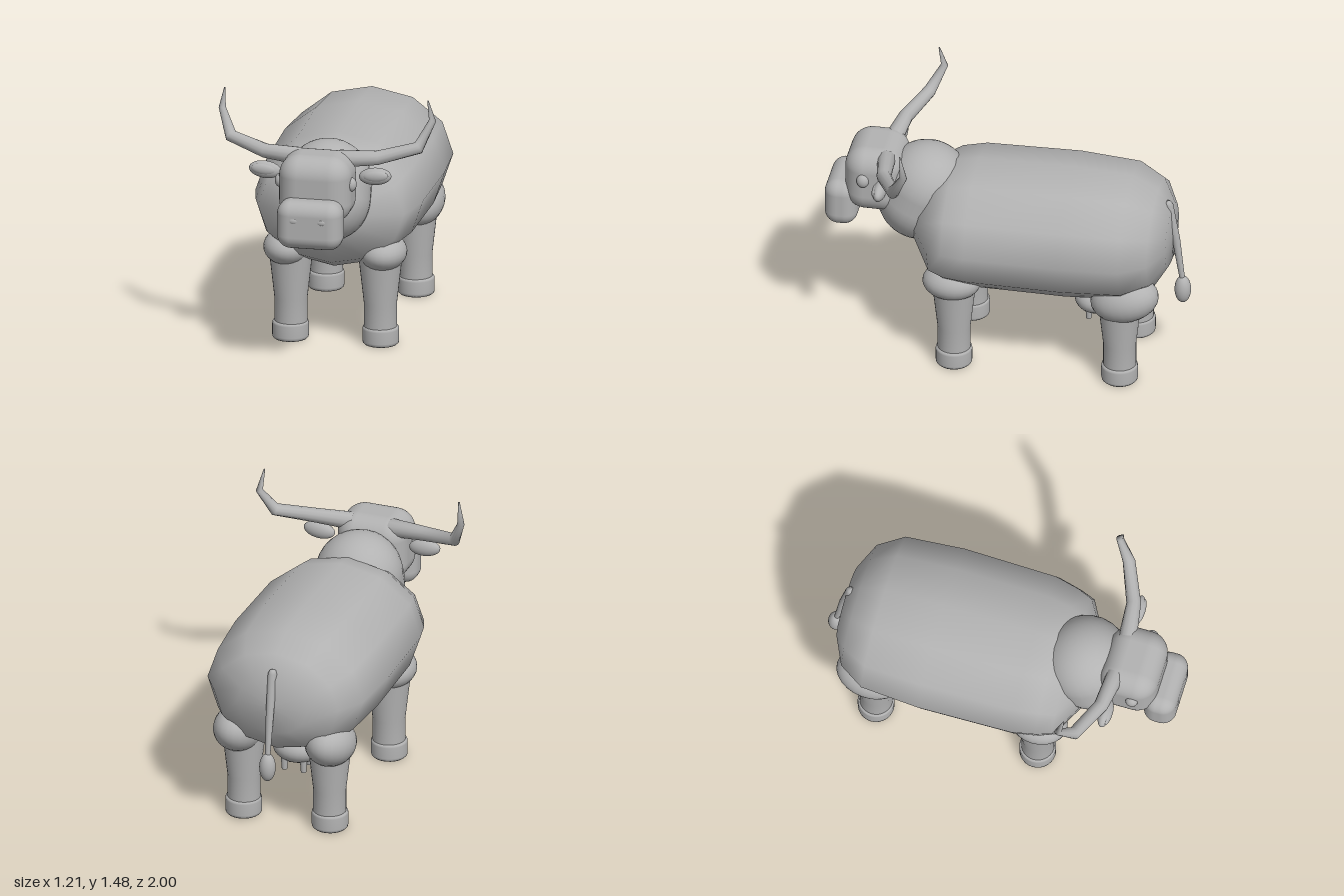
import * as THREE from 'three';
import { RoundedBoxGeometry } from 'three/addons/geometries/RoundedBoxGeometry.js';

const Y = new THREE.Vector3(0, 1, 0);
const Z = new THREE.Vector3(0, 0, 1);

// Skin of elliptical rings [x, y, z, radiusU, radiusV] set square to the path
function loft(rings, sides, ref, fixedDir) {
  const pts = rings.map(r => new THREE.Vector3(r[0], r[1], r[2]));
  const pos = [], index = [];
  rings.forEach((r, i) => {
    const a = pts[Math.max(i - 1, 0)], b = pts[Math.min(i + 1, pts.length - 1)];
    const d = fixedDir ? fixedDir.clone() : b.clone().sub(a).normalize();
    const u = ref.clone().cross(d).normalize();
    const v = d.clone().cross(u);
    for (let j = 0; j < sides; j++) {
      const t = j / sides * Math.PI * 2;
      const p = pts[i].clone().addScaledVector(u, Math.cos(t) * r[3]).addScaledVector(v, Math.sin(t) * r[4]);
      pos.push(p.x, p.y, p.z);
      if (i < rings.length - 1) {
        const k = i * sides + j, n = i * sides + (j + 1) % sides;
        index.push(k, n, k + sides, n, n + sides, k + sides);
      }
    }
  });
  const g = new THREE.BufferGeometry();
  g.setAttribute('position', new THREE.Float32BufferAttribute(pos, 3));
  g.setIndex(index);
  g.computeVertexNormals();
  return g;
}

export function createModel() {
  const model = new THREE.Group();
  model.name = 'ox';
  const hide = new THREE.MeshStandardMaterial({ color: 0xb2b2b2 });
  hide.name = 'grey hide';

  function add(name, geometry, x = 0, y = 0, z = 0) {
    const m = new THREE.Mesh(geometry, hide);
    m.name = name;
    m.position.set(x, y, z);
    model.add(m);
    return m;
  }
  function ellipsoid(name, x, y, z, rx, ry, rz) {
    const m = add(name, new THREE.SphereGeometry(1, 24, 16), x, y, z);
    m.scale.set(rx, ry, rz);
    return m;
  }

  // Barrel body: z, half width, bottom, top
  const body = [
    [-0.905, 0, 0.79, 0.79], [-0.895, 0.2, 0.63, 0.96], [-0.82, 0.36, 0.51, 1.08],
    [-0.68, 0.45, 0.445, 1.15], [-0.35, 0.475, 0.43, 1.17], [0.17, 0.465, 0.43, 1.16],
    [0.3, 0.435, 0.435, 1.135], [0.385, 0.405, 0.48, 1.08], [0.5, 0.2, 0.65, 0.94], [0.51, 0, 0.8, 0.8],
  ].map(([z, w, lo, hi]) => [0, (lo + hi) / 2, z, w, (hi - lo) / 2]);
  add('body', loft(body, 12, Y, Z));

  // Neck, head and muzzle
  const neck = add('neck', new THREE.CapsuleGeometry(0.24, 0.085, 10, 28), 0, 0.922, 0.475);
  neck.rotation.x = -0.36;
  add('head', new RoundedBoxGeometry(0.4, 0.375, 0.32, 6, 0.115), 0, 1.027, 0.73);
  add('muzzle', new RoundedBoxGeometry(0.36, 0.27, 0.18, 6, 0.075), 0, 0.865, 0.91);

  for (const s of [1, -1]) {
    const side = s > 0 ? 'left' : 'right';
    ellipsoid(side + 'Nostril', s * 0.078, 0.9, 0.994, 0.026, 0.017, 0.01);
    ellipsoid(side + 'Eye', s * 0.198, 1.06, 0.775, 0.028, 0.039, 0.034);

    // Ear with a raised inner pad
    const ear = ellipsoid(side + 'Ear', s * 0.305, 1.077, 0.66, 0.09, 0.048, 0.036);
    ear.rotation.z = s * 0.08;
    const inner = ellipsoid(side + 'InnerEar', s * 0.31, 1.082, 0.678, 0.07, 0.032, 0.022);
    inner.rotation.z = s * 0.08;

    // Bent, tapering horn
    const horn = [
      [0.11, 1.165, 0.66, 0], [0.11, 1.165, 0.66, 0.05], [0.31, 1.175, 0.635, 0.04],
      [0.52, 1.218, 0.545, 0.035], [0.583, 1.355, 0.475, 0.02], [0.563, 1.475, 0.5, 0.004], [0.563, 1.477, 0.5, 0],
    ].map(([x, y, z, r]) => [s * x, y, z, r, r]);
    add(side + 'Horn', loft(horn, 12, Z));

    // Legs with rounded shoulders, haunches and hooves
    for (const front of [true, false]) {
      const name = side + (front ? 'Front' : 'Back');
      const z = front ? 0.26 : -0.655;
      const leg = [[0.001, 0.04], [0.088, 0.09 - 0.05], [0.09, 0.09], [0.23, 0.09], [0.48, 0.118], [0.52, 0.115]]
        .slice(2).map(([y, r]) => new THREE.Vector2(r, y));
      add(name + 'Leg', new THREE.LatheGeometry(leg, 28), s * 0.248, 0, z);
      const hoof = [[0, 0], [0.09, 0], [0.098, 0.008], [0.1, 0.02], [0.1, 0.085], [0.097, 0.096], [0.088, 0.101], [0, 0.101]]
        .map(([r, y]) => new THREE.Vector2(r, y));
      add(name + 'Hoof', new THREE.LatheGeometry(hoof, 28), s * 0.25, 0, z);
      if (front) {
        ellipsoid(name + 'Shoulder', s * 0.265, 0.525, 0.27, 0.13, 0.1, 0.16);
      } else {
        const haunch = ellipsoid(name + 'Haunch', s * 0.265, 0.525, -0.685, 0.135, 0.13, 0.19);
        haunch.rotation.x = 0.25;
      }
    }

    // Teats
    for (const z of [-0.447, -0.545]) {
      add(side + 'Teat', new THREE.CylinderGeometry(0.02, 0.015, 0.07, 14), s * 0.055, 0.277, z);
    }
  }

  ellipsoid('udder', 0, 0.36, -0.48, 0.14, 0.085, 0.12);

  // Tail with a tuft
  const tail = [
    [0, 1.01, -0.872, 0], [0, 1.005, -0.872, 0.017], [0, 0.985, -0.876, 0.026],
    [0, 0.77, -0.918, 0.022], [0, 0.5, -0.955, 0.014],
  ].map(r => [...r, r[3]]);
  add('tail', loft(tail, 14, Z));
  ellipsoid('tailTuft', 0, 0.455, -0.955, 0.045, 0.082, 0.045);

  return model;
}
